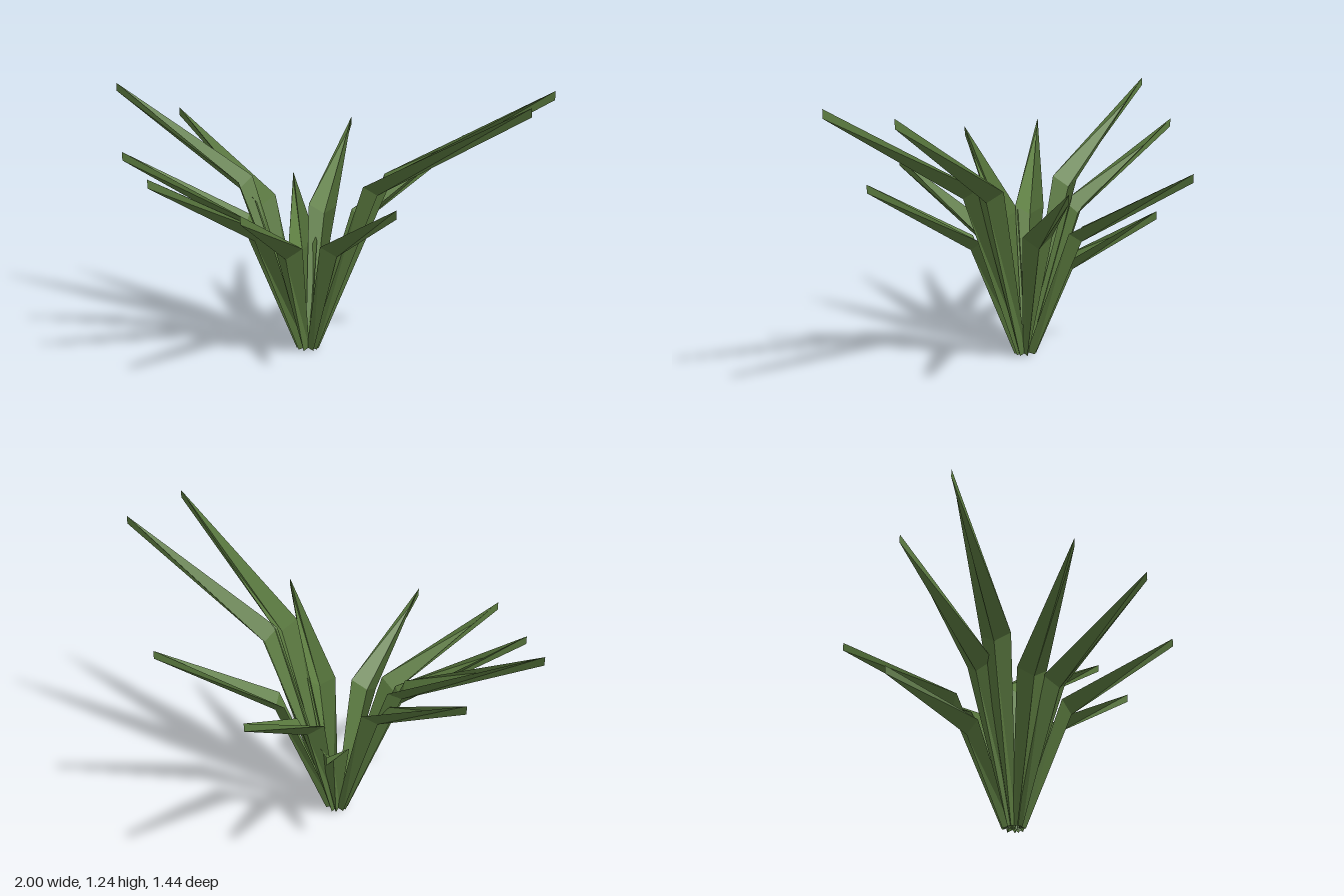
import * as THREE from 'three';

// Leaf tips as [x, z, height]
const TIPS = [
  [1.0, -0.01, 1.235], [0.93, -0.36, 1.235], [0.35, -0.665, 0.915], [-0.31, -0.725, 0.905],
  [-0.44, -0.42, 0.67], [-0.88, -0.11, 0.985], [-1.0, 0.18, 1.135], [-0.635, 0.535, 0.935],
  [-0.32, 0.72, 0.905], [0.12, 0.675, 0.82], [0.59, 0.29, 0.83],
];
const CENTRE_X = -0.05;

// V-shaped blade pointing along +x: a keel below and two wing edges above,
// narrow at the base, widest at the bend and closing to a point at the tip
function bladeGeometry(length, height) {
  const bendR = 0.315 * length, bendY = 0.665 * height;
  const sections = [
    { keel: [0.05, 0], wing: [0.017, 0.01], half: 0.014 },
    { keel: [bendR + 0.03, bendY - 0.047], wing: [bendR, bendY], half: 0.065 },
    { keel: [length, height - 0.037], wing: [length, height], half: 0 },
  ];
  const positions = [];
  for (const s of sections) {
    positions.push(s.wing[0], s.wing[1], -s.half);
    positions.push(s.keel[0], s.keel[1], 0);
    positions.push(s.wing[0], s.wing[1], s.half);
  }
  const index = [];
  for (let i = 0; i < sections.length - 1; i++) {
    for (let j = 0; j < 2; j++) {
      const a = i * 3 + j, b = a + 1, c = a + 3, d = a + 4;
      index.push(a, b, d, a, d, c);
    }
  }
  const indexed = new THREE.BufferGeometry();
  indexed.setAttribute('position', new THREE.Float32BufferAttribute(positions, 3));
  indexed.setIndex(index);
  const geometry = indexed.toNonIndexed();
  geometry.computeVertexNormals();
  return geometry;
}

export function createModel() {
  const plant = new THREE.Group();
  plant.name = 'plant';
  const leafGreen = new THREE.MeshStandardMaterial({ color: 0x5c7c40, flatShading: true, side: THREE.DoubleSide });
  leafGreen.name = 'leaf green';

  // Rosette of leaves around a small open centre
  TIPS.forEach(([x, z, height], i) => {
    const dx = x - CENTRE_X;
    const leaf = new THREE.Mesh(bladeGeometry(Math.hypot(dx, z), height), leafGreen);
    leaf.name = `leaf${i + 1}`;
    leaf.position.x = CENTRE_X;
    leaf.rotation.y = -Math.atan2(z, dx);
    plant.add(leaf);
  });
  return plant;
}
